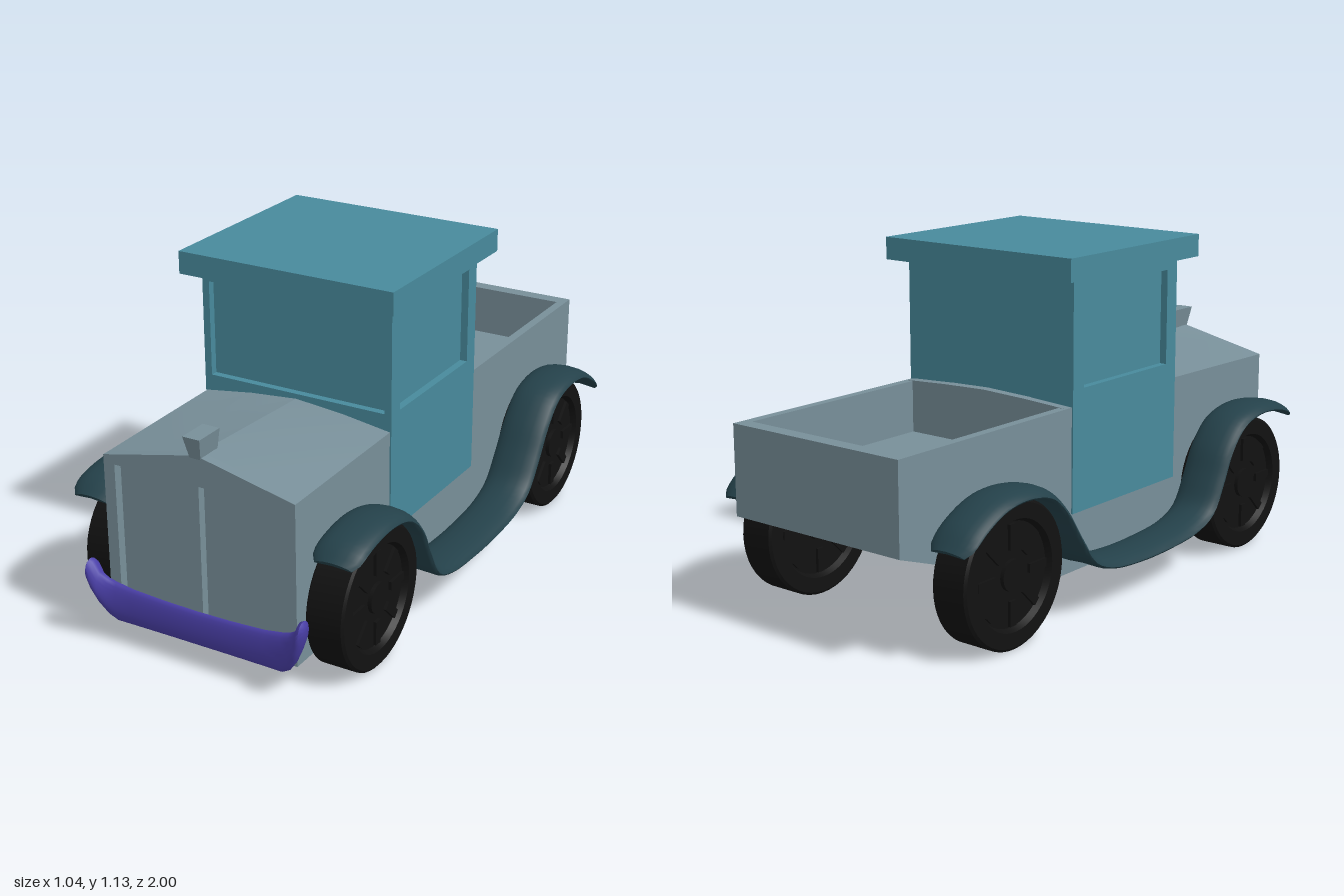
import * as THREE from 'three';
import { toCreasedNormals } from 'three/addons/utils/BufferGeometryUtils.js';

const mat = (color) => new THREE.MeshStandardMaterial({ color });
const V = (x, y, z) => new THREE.Vector3(x, y, z);

export function createModel() {
  const model = new THREE.Group();
  const bodyMat = mat(0x788f99), cabMat = mat(0x488a9c), fenderMat = mat(0x24414a);
  const bumperMat = mat(0x4a3fa8), tyreMat = mat(0x111111);

  const add = (name, geo, material, parent = model) => {
    const m = new THREE.Mesh(geo, material);
    m.name = name;
    parent.add(m);
    return m;
  };
  // Box given by its limits
  const box = (x0, x1, y0, y1, z0, z1) =>
    new THREE.BoxGeometry(x1 - x0, y1 - y0, z1 - z0)
      .translate((x0 + x1) / 2, (y0 + y1) / 2, (z0 + z1) / 2);
  // Flat plate of given thickness with an optional rectangular opening
  const plate = (pts, depth, hole) => {
    const shape = new THREE.Shape(pts.map((p) => new THREE.Vector2(...p)));
    if (hole) {
      const [a, b, c, d] = hole;
      shape.holes.push(new THREE.Path([[a, c], [a, d], [b, d], [b, c]].map((p) => new THREE.Vector2(...p))));
    }
    return new THREE.ExtrudeGeometry(shape, { depth, bevelEnabled: false });
  };
  const rect = (a, b, c, d) => [[a, c], [b, c], [b, d], [a, d]];
  // Closed skin over a row of rings, capped at both ends
  const loft = (rings, crease) => {
    const n = rings[0].length, pos = [], idx = [];
    rings.forEach((r) => r.forEach((p) => pos.push(p.x, p.y, p.z)));
    for (let k = 0; k < rings.length - 1; k++) {
      for (let i = 0; i < n; i++) {
        const a = k * n + i, b = k * n + (i + 1) % n;
        idx.push(a, b, b + n, a, b + n, a + n);
      }
    }
    [0, rings.length - 1].forEach((k, end) => {
      const c = rings[k].reduce((s, p) => s.add(p), V(0, 0, 0)).divideScalar(n);
      const ci = pos.length / 3;
      pos.push(c.x, c.y, c.z);
      for (let i = 0; i < n; i++) {
        const a = k * n + i, b = k * n + (i + 1) % n;
        if (end) idx.push(ci, a, b); else idx.push(ci, b, a);
      }
    });
    const g = new THREE.BufferGeometry();
    g.setAttribute('position', new THREE.Float32BufferAttribute(pos, 3));
    g.setIndex(idx);
    g.computeVertexNormals();
    return toCreasedNormals(g, crease);
  };

  // Lower body with rising tail
  const W = 0.34;
  add('lowerBody', plate([[-1, 0.35], [-0.29, 0.1], [0.9, 0.1], [0.9, 0.47], [-1, 0.47]], 2 * W)
    .rotateY(-Math.PI / 2).translate(W, 0, 0), bodyMat);

  // Open cargo bed
  for (const s of [-1, 1]) {
    add('bedSide', box(-0.015, 0.015, 0.47, 0.645, -1, -0.2).translate(s * 0.325, 0, 0), bodyMat);
  }
  add('tailgate', box(-0.31, 0.31, 0.47, 0.645, -1, -0.95), bodyMat);

  // Peaked hood, running through the cab to the front wall of the bed
  const hoodRings = [[-0.225, 0.645, 0.66], [0.37, 0.643, 0.683], [0.6, 0.64, 0.695], [0.9, 0.635, 0.71]]
    .map(([z, e, r]) => {
      const m = e + (r - e) * (z > 0.8 ? 0.5 : 0.62);
      return [V(-W, 0.47, z), V(W, 0.47, z), V(W, e, z), V(W / 2, m, z), V(0, r, z), V(-W / 2, m, z), V(-W, e, z)];
    });
  add('hood', loft(hoodRings, 0.15), bodyMat);

  // Radiator frame, centre bar and cap
  add('radiatorFrame', plate([[-W, 0.1], [W, 0.1], [W, 0.635], [0, 0.71], [-W, 0.635]], 0.03, [-0.3, 0.3, 0.15, 0.61])
    .translate(0, 0, 0.9), bodyMat);
  add('radiatorBar', box(-0.022, 0.005, 0.15, 0.61, 0.9, 0.928), bodyMat);
  const cap = box(-0.03, 0.03, 0.7, 0.772, 0.845, 0.95);
  const cp = cap.attributes.position;
  for (let i = 0; i < cp.count; i++) {
    if (cp.getY(i) < 0.72) {
      cp.setX(i, cp.getX(i) * 0.65);
      cp.setZ(i, Math.min(cp.getZ(i), 0.932));
    }
  }
  cap.computeVertexNormals();
  add('radiatorCap', cap, bodyMat);

  // Cab: core with window-framed panels on the front and both sides
  const cab = new THREE.Group();
  cab.name = 'cab';
  model.add(cab);
  const C = 0.345, T = 0.025;
  add('cabCore', box(-C + T, C - T, 0.295, 1.055, -0.195, 0.35), cabMat, cab);
  add('windscreenFrame', plate(rect(-C, C, 0.295, 1.055), T, [-0.32, 0.32, 0.7, 1.02])
    .translate(0, 0, 0.35), cabMat, cab);
  for (const s of [-1, 1]) {
    add('door', plate(rect(-0.195, 0.35, 0.295, 1.055), T, [-0.14, 0.32, 0.7, 1.02])
      .rotateY(-Math.PI / 2).translate(s > 0 ? C : -C + T, 0, 0), cabMat, cab);
  }
  add('roof', box(-0.385, 0.385, 1.055, 1.13, -0.262, 0.442), cabMat, cab);

  // Flowing fenders joined by the running board
  const path = new THREE.CatmullRomCurve3([
    [0.89, 0.45], [0.84, 0.478], [0.75, 0.5], [0.65, 0.502], [0.55, 0.472], [0.47, 0.395], [0.42, 0.3],
    [0.36, 0.205], [0.27, 0.168], [0.1, 0.152], [-0.05, 0.152], [-0.2, 0.168], [-0.29, 0.205], [-0.36, 0.29],
    [-0.43, 0.39], [-0.51, 0.462], [-0.62, 0.488], [-0.73, 0.478], [-0.83, 0.432], [-0.91, 0.368],
  ].map(([z, y]) => V(0, y, z)));
  const N = 90, M = 20;
  for (const s of [-1, 1]) {
    const rings = [];
    for (let k = 0; k <= N; k++) {
      const u = k / N, p = path.getPointAt(u), t = path.getTangentAt(u);
      const end = Math.min(1, Math.min(u, 1 - u) / 0.03);
      const w = 0.084 * (0.75 + 0.25 * Math.sqrt(end * (2 - end)));
      const h = 0.017 * (0.4 + 0.6 * end);
      const n = t.clone().cross(V(-1, 0, 0));
      rings.push(Array.from({ length: M }, (_, i) => {
        const a = (i / M) * Math.PI * 2, c = Math.cos(a);
        const x = Math.sign(c) * Math.pow(Math.abs(c), 0.7);
        return p.clone().addScaledVector(n, h * Math.sin(a) - 0.012 * x * x).add(V(s * 0.436 - w * x, 0, 0));
      }));
    }
    add('fender', loft(rings, 1.0), fenderMat);
  }

  // Bumper with upturned ends: x, bottom, top, z, half thickness
  const half = [
    [0, 0.08, 0.197, 0.946, 0.014], [0.12, 0.08, 0.199, 0.946, 0.014], [0.24, 0.08, 0.206, 0.947, 0.015],
    [0.3, 0.082, 0.217, 0.95, 0.018], [0.33, 0.1, 0.226, 0.954, 0.022], [0.355, 0.135, 0.243, 0.96, 0.028],
    [0.373, 0.175, 0.28, 0.965, 0.033], [0.385, 0.21, 0.286, 0.967, 0.031], [0.393, 0.24, 0.275, 0.968, 0.016],
  ];
  const stations = [...half.slice(1).reverse().map(([x, ...r]) => [-x, ...r]), ...half];
  add('bumper', loft(stations.map(([x, b, t, z, d]) => Array.from({ length: 20 }, (_, i) => {
    const a = (i / 20) * Math.PI * 2;
    return V(x, (b + t) / 2 + ((t - b) / 2) * Math.cos(a), z + d * Math.sin(a));
  })), 1.2), bumperMat);

  // Wheels with recessed discs, hubs and spokes
  const R = 0.2325;
  const profile = [[0, -0.045], [0.165, -0.045], [0.175, -0.065], [0.224, -0.065], [R, -0.058],
    [R, 0.058], [0.224, 0.065], [0.175, 0.065], [0.165, 0.045], [0, 0.045]].map((p) => new THREE.Vector2(...p));
  const tyreGeo = toCreasedNormals(new THREE.LatheGeometry(profile, 48).rotateZ(Math.PI / 2), 0.4);
  const hubGeo = new THREE.CylinderGeometry(0.05, 0.05, 0.116, 24).rotateZ(Math.PI / 2);
  const spokeGeo = new THREE.BoxGeometry(0.11, 0.08, 0.028).translate(0, 0.12, 0);
  for (const s of [-1, 1]) {
    for (const z of [0.655, -0.635]) {
      const wheel = new THREE.Group();
      wheel.name = z > 0 ? 'frontWheel' : 'rearWheel';
      wheel.position.set(s * 0.405, R, z);
      add('tyre', tyreGeo, tyreMat, wheel);
      add('hub', hubGeo, tyreMat, wheel);
      for (let i = 0; i < 8; i++) add('spoke', spokeGeo, tyreMat, wheel).rotation.x = (i * Math.PI) / 4;
      model.add(wheel);
    }
  }
  return model;
}
